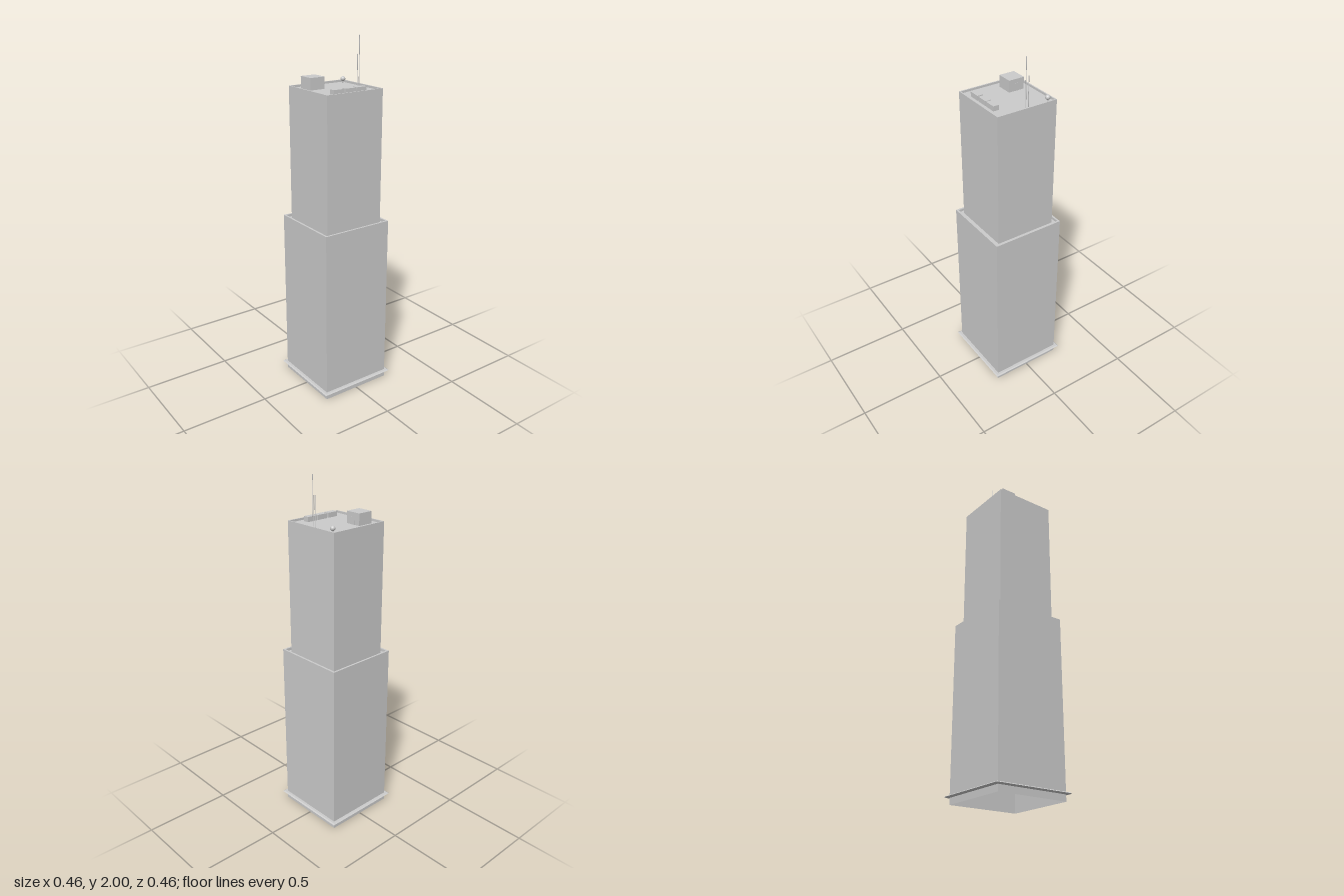
import * as THREE from 'three';

const material = new THREE.MeshStandardMaterial({ color: 0xcccccc, flatShading: true, side: THREE.DoubleSide });
const smooth = new THREE.MeshStandardMaterial({ color: 0xcccccc });

export function createModel() {
  const model = new THREE.Group();
  model.name = 'skyscraper';

  const add = (name, geometry, x = 0, y = 0, z = 0, mat = material) => {
    const mesh = new THREE.Mesh(geometry, mat);
    mesh.name = name;
    mesh.position.set(x, y, z);
    model.add(mesh);
    return mesh;
  };

  // Square shell swept from a profile of [half width, height] points
  const squareShell = (name, profile) => {
    const points = profile.map(([half, y]) => new THREE.Vector2(half * Math.SQRT2, y));
    const geometry = new THREE.LatheGeometry(points, 4).rotateY(Math.PI / 4).toNonIndexed();
    geometry.computeVertexNormals();
    return add(name, geometry);
  };

  // Box standing on a given height
  const standingBox = (name, w, h, d, x, bottom, z) =>
    add(name, new THREE.BoxGeometry(w, h, d), x, bottom + h / 2, z);

  const terraceY = 0.99, roofY = 1.73;

  // Hollow tower: open base, parapet and recessed terrace, then the narrower upper block
  squareShell('lowerTower', [[0.211, 0], [0.211, 1.005], [0.2, 1.005], [0.2, terraceY], [0.178, terraceY]]);
  squareShell('upperTower', [[0.178, terraceY], [0.178, 1.742], [0.171, 1.742], [0.171, roofY], [0, roofY]]);

  // Thin bevelled canopy around the base
  squareShell('baseCanopy', [[0.211, 0.036], [0.225, 0.036], [0.232, 0.041], [0.225, 0.046], [0.211, 0.046]]);

  // Stair house with a door in its back wall
  standingBox('stairHouse', 0.091, 1.795 - roofY, 0.09, -0.085, roofY, 0.087);
  standingBox('stairHouseDoor', 0.02, 0.042, 0.002, -0.085, roofY, 0.042);

  // Row of ventilation units
  for (const z of [-0.062, 0.008, 0.082]) {
    standingBox('ventilationUnit', 0.033, 1.757 - roofY, 0.064, 0.13, roofY, z);
  }

  // Radome on a short post
  add('radomePost', new THREE.CylinderGeometry(0.004, 0.004, 0.02, 12), -0.14, roofY + 0.01, -0.152, smooth);
  add('radome', new THREE.SphereGeometry(0.0135, 24, 16), -0.14, 1.753, -0.152, smooth);

  // Pair of antenna masts
  for (const [x, top] of [[-0.001, 2], [-0.017, 1.9]]) {
    const height = top - roofY;
    add('antennaMast', new THREE.CylinderGeometry(0.002, 0.002, height, 8), x, roofY + height / 2, -0.158, smooth);
  }

  return model;
}
